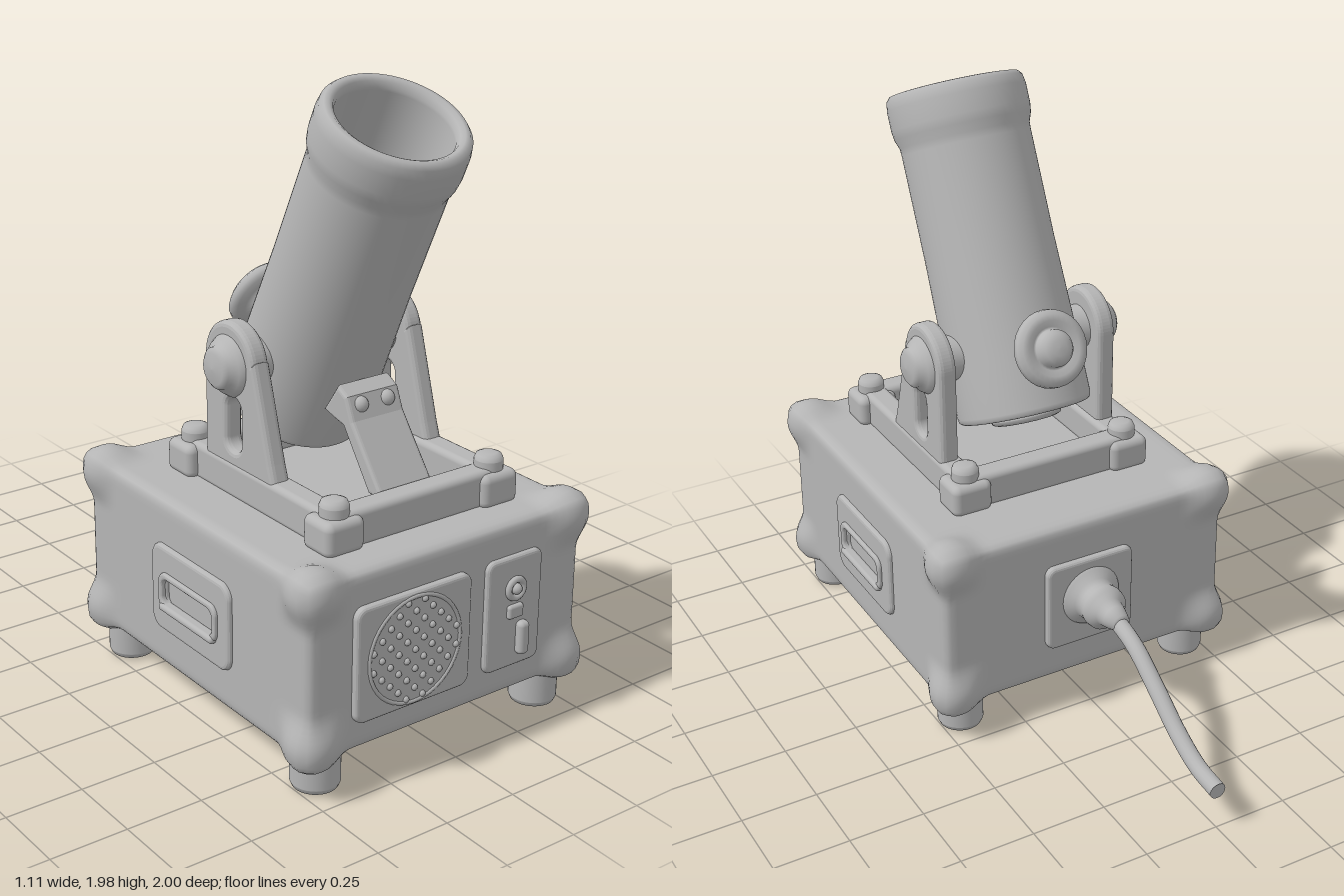
import * as THREE from 'three';
import { mergeVertices, mergeGeometries } from 'three/addons/utils/BufferGeometryUtils.js';
import { RoundedBoxGeometry } from 'three/addons/geometries/RoundedBoxGeometry.js';

const grey = new THREE.MeshStandardMaterial({ color: 0xb5b5b5 });
grey.name = 'plain grey';

function add(parent, name, geometry, x = 0, y = 0, z = 0) {
  const mesh = new THREE.Mesh(geometry, grey);
  mesh.name = name;
  mesh.position.set(x, y, z);
  parent.add(mesh);
  return mesh;
}
const lathe = (pts, n = 32) => new THREE.LatheGeometry(pts.map(p => new THREE.Vector2(...p)), n);
const rbox = (w, h, d, r) => new RoundedBoxGeometry(w, h, d, 4, r);

// Solid disc with rounded rims, standing on y = 0
function peg(r, h, b = 0.015) {
  return lathe([[0, 0], [r - b, 0], [r - b * 0.3, b * 0.3], [r, b], [r, b * 1.05], [r, h - b * 1.05],
    [r, h - b], [r - b * 0.3, h - b * 0.3], [r - b, h], [0, h]]);
}

// Bevelled outline extruded to a total thickness, centred on its depth
function slab(shape, thick, bevel) {
  const g = new THREE.ExtrudeGeometry(shape, { depth: thick - 2 * bevel, bevelThickness: bevel,
    bevelSize: bevel, bevelOffset: -bevel, bevelSegments: 3, curveSegments: 16 });
  return g.translate(0, 0, bevel - thick / 2);
}
// Turns an outline drawn as (z, y) to stand in the side plane
const sideways = g => g.rotateY(-Math.PI / 2);

function roundRect(w, h, r, cx = 0, cy = 0, Type = THREE.Shape) {
  const s = new Type(), a = w / 2 - r, b = h / 2 - r;
  s.absarc(cx + a, cy + b, r, 0, Math.PI / 2);
  s.absarc(cx - a, cy + b, r, Math.PI / 2, Math.PI);
  s.absarc(cx - a, cy - b, r, Math.PI, Math.PI * 1.5);
  s.absarc(cx + a, cy - b, r, Math.PI * 1.5, Math.PI * 2);
  s.closePath();
  return s;
}

// Soft-edged case whose eight corners swell outward
function caseGeometry(hx, hy, hz, r, swell) {
  let g = new THREE.BoxGeometry(hx * 2, hy * 2, hz * 2, 48, 32, 48);
  g.deleteAttribute('normal');
  g.deleteAttribute('uv');
  g = mergeVertices(g);
  const pos = g.attributes.position, half = new THREE.Vector3(hx, hy, hz);
  const lim = half.clone().subScalar(r), p = new THREE.Vector3(), q = new THREE.Vector3();
  const near = (v, h) => THREE.MathUtils.smoothstep(Math.abs(v), h - 0.16, h - 0.05);
  for (let i = 0; i < pos.count; i++) {
    p.fromBufferAttribute(pos, i);
    const w = near(p.x, hx) * near(p.y, hy) * near(p.z, hz) * swell;
    q.copy(p).clamp(lim.clone().negate(), lim);
    p.sub(q).normalize().multiplyScalar(r + w * 1.5).add(q);
    pos.setXYZ(i, p.x, p.y, p.z);
  }
  g.computeVertexNormals();
  return g;
}

function buildCase(model) {
  const zc = 0.365;
  add(model, 'case', caseGeometry(0.52, 0.285, 0.588, 0.03, 0.022), 0, 0.405, zc);
  for (const x of [-0.43, 0.43]) for (const z of [-0.13, 0.87])
    add(model, 'foot', peg(0.076, 0.14, 0.02), x, 0, z);

  // Front panels
  add(model, 'speakerPanel', slab(roundRect(0.43, 0.37, 0.035), 0.04, 0.012), -0.15, 0.4, 0.955);
  add(model, 'speakerRim', new THREE.TorusGeometry(0.17, 0.007, 8, 40), -0.15, 0.4, 0.973);
  const studs = [];
  for (let i = -5; i <= 5; i++) for (let j = -5; j <= 5; j++) {
    if (Math.hypot(i, j) > 5.1 || (i + j) % 2) continue;
    studs.push(new THREE.SphereGeometry(0.011, 8, 6).translate(i * 0.031, j * 0.031, 0));
  }
  add(model, 'speakerStuds', mergeGeometries(studs), -0.15, 0.4, 0.974);
  add(model, 'controlPanel', slab(roundRect(0.22, 0.37, 0.03), 0.035, 0.012), 0.24, 0.4, 0.952);
  add(model, 'dialRing', new THREE.TorusGeometry(0.03, 0.011, 10, 28), 0.24, 0.48, 0.973);
  add(model, 'dial', new THREE.SphereGeometry(0.018, 16, 10), 0.24, 0.48, 0.975);
  add(model, 'switch', rbox(0.06, 0.045, 0.03, 0.01), 0.24, 0.405, 0.968);
  add(model, 'lever', rbox(0.04, 0.11, 0.04, 0.015), 0.27, 0.31, 0.975);

  // Side grips
  for (const s of [-1, 1]) {
    const plate = roundRect(0.42, 0.29, 0.05);
    plate.holes.push(roundRect(0.26, 0.085, 0.02, 0, 0, THREE.Path));
    add(model, 'gripPlate', sideways(slab(plate, 0.03, 0.014)), s * 0.52, 0.4, 0.37);
    const frame = roundRect(0.31, 0.125, 0.035);
    frame.holes.push(roundRect(0.27, 0.085, 0.025, 0, 0, THREE.Path));
    add(model, 'gripFrame', sideways(slab(frame, 0.04, 0.008)), s * 0.527, 0.4, 0.37);
    add(model, 'gripLip', rbox(0.04, 0.025, 0.29, 0.012), s * 0.535, 0.347, 0.37);
  }

  // Rear inlet and power cable
  add(model, 'inletPlate', slab(roundRect(0.32, 0.31, 0.03), 0.04, 0.012), 0, 0.4, -0.225);
  const plug = add(model, 'plug', lathe([[0.11, 0], [0.1, 0.02], [0.075, 0.035], [0.07, 0.06], [0.075, 0.085],
    [0.072, 0.11], [0.05, 0.125], [0.042, 0.16], [0.03, 0.2], [0, 0.2]]), 0, 0.415, -0.235);
  plug.rotation.x = -Math.PI / 2;
  const path = new THREE.CatmullRomCurve3([[0.415, -0.3], [0.405, -0.42], [0.375, -0.52], [0.3, -0.64],
    [0.205, -0.78], [0.155, -0.89], [0.14, -1]].map(([y, z]) => new THREE.Vector3(0, y, z)));
  add(model, 'cable', new THREE.TubeGeometry(path, 48, 0.028, 16));
  add(model, 'cableEnd', new THREE.CircleGeometry(0.028, 16).rotateY(Math.PI), 0, 0.14, -0.9995);
}

function buildMount(model) {
  // Rectangular base frame with bolted corners
  for (const z of [0.06, 0.77]) add(model, 'crossBar', rbox(0.6, 0.12, 0.085, 0.02), 0, 0.74, z);
  for (const s of [-1, 1]) {
    add(model, 'rail', rbox(0.085, 0.12, 0.74, 0.02), s * 0.29, 0.74, 0.415);
    for (const z of [0.06, 0.77]) {
      add(model, 'cornerPad', rbox(0.14, 0.11, 0.13, 0.025), s * 0.295, 0.735, z);
      add(model, 'cornerBolt', peg(0.045, 0.09, 0.02), s * 0.295, 0.75, z);
    }

    // Tapered cheek with a slot, carrying the pivot
    const cheek = new THREE.Shape();
    cheek.moveTo(0.16, 0.73);
    cheek.lineTo(0.54, 0.73);
    cheek.lineTo(0.5, 0.85);
    cheek.lineTo(0.413, 1.145);
    cheek.absarc(0.285, 1.115, 0.127, 0.23, Math.PI);
    cheek.closePath();
    cheek.holes.push(roundRect(0.075, 0.17, 0.035, 0.31, 0.92, THREE.Path));
    add(model, 'cheek', sideways(slab(cheek, 0.065, 0.018)), s * 0.295);
    const pivot = add(model, 'pivot', lathe([[0.075, 0], [0.075, 0.1], [0.098, 0.11], [0.098, 0.125],
      [0.085, 0.145], [0.068, 0.155], [0.065, 0.17], [0.05, 0.182], [0, 0.186]]), s * 0.2, 1.105, 0.285);
    pivot.rotation.z = -s * Math.PI / 2;
  }

  // Bent strut holding the front of the barrel
  const strut = new THREE.Shape([[0.75, 0.77], [0.6, 0.97], [0.57, 1.04], [0.525, 1.065],
    [0.46, 0.97], [0.51, 0.955], [0.555, 0.945], [0.68, 0.77]].map(p => new THREE.Vector2(...p)));
  add(model, 'strut', sideways(slab(strut, 0.2, 0.012)));
  for (const x of [-0.05, 0.05])
    add(model, 'strutBolt', new THREE.SphereGeometry(0.026, 16, 10), x, 1.01, 0.575);
}

function buildBarrel(model) {
  const barrel = new THREE.Group();
  barrel.name = 'barrel';
  barrel.position.set(0, 0.895, 0.19);
  barrel.rotation.x = 0.44;
  model.add(barrel);

  // Tube with a swollen lip and a shallow bore
  add(barrel, 'tube', lathe([[0, 0], [0.215, 0], [0.222, 0.006], [0.225, 0.02], [0.224, 0.2], [0.217, 0.55],
    [0.216, 0.9], [0.217, 0.925], [0.228, 0.955], [0.232, 0.985], [0.232, 1.05], [0.227, 1.08], [0.215, 1.094],
    [0.2, 1.096], [0.187, 1.088], [0.18, 1.07], [0.18, 1.06], [0.18, 0.83], [0.179, 0.821], [0.175, 0.82],
    [0, 0.82]], 56));
  add(barrel, 'basePlug', peg(0.12, 0.05), 0, -0.03, 0);

  // Rear knob with a ring and a central button
  const knob = add(barrel, 'knob', lathe([[0.06, 0], [0.06, 0.055], [0.09, 0.06], [0.115, 0.066], [0.127, 0.082],
    [0.125, 0.1], [0.11, 0.115], [0.09, 0.117], [0.07, 0.108], [0.062, 0.108], [0.06, 0.13], [0.048, 0.147],
    [0.025, 0.155], [0, 0.156]]), 0, 0.2, -0.195);
  knob.rotation.x = -Math.PI / 2;
}

export function createModel() {
  const model = new THREE.Group();
  model.name = 'mortarOnCase';
  buildCase(model);
  buildMount(model);
  buildBarrel(model);
  return model;
}
